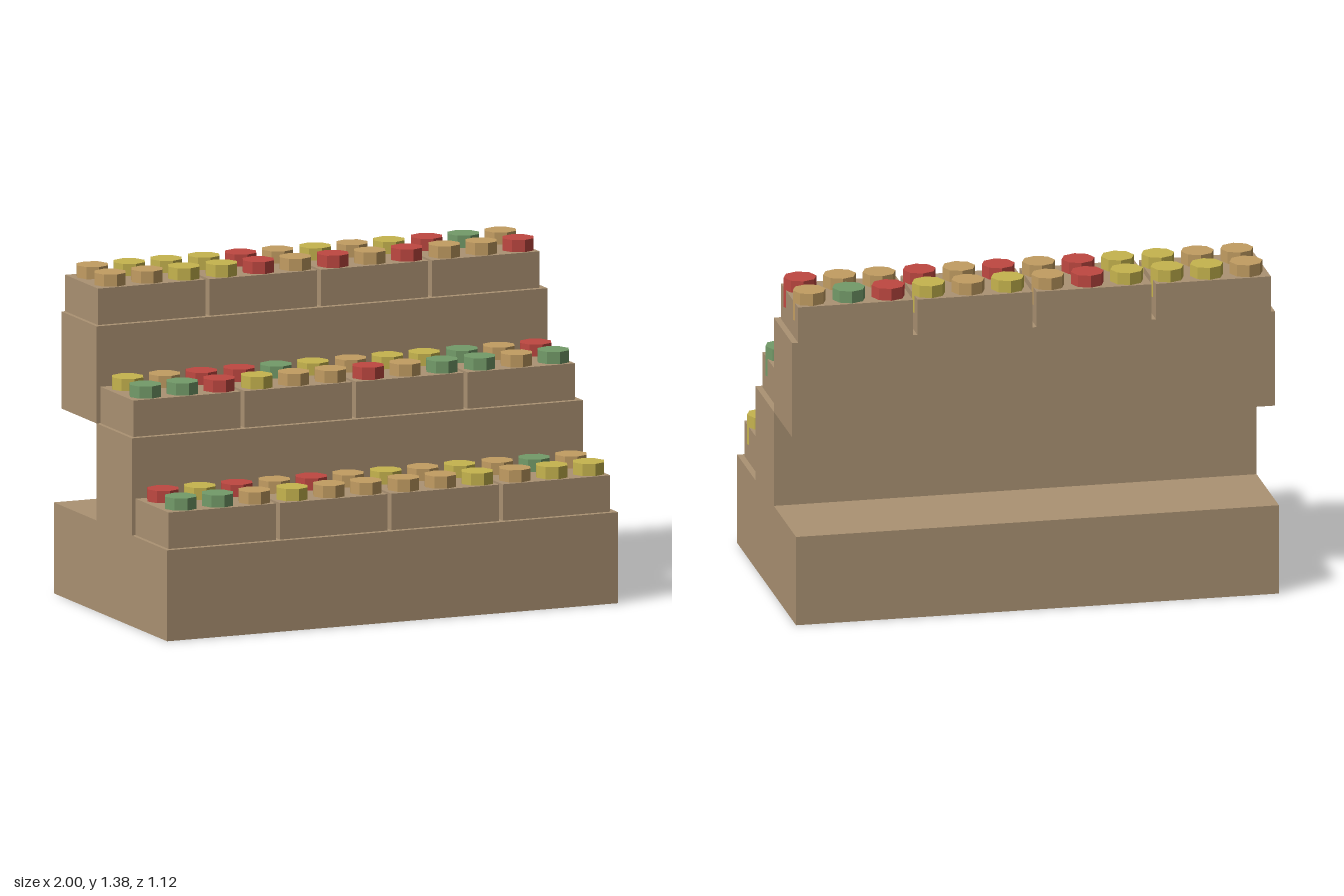
import * as THREE from 'three';

const wood = new THREE.MeshStandardMaterial({ color: 0xab9273 });
wood.name = 'wood';
const goods = { T: 0xc29d62, Y: 0xc6b44e, R: 0xbf4841, G: 0x739b69 };
const goodsNames = { T: 'tan', Y: 'yellow', R: 'red', G: 'green' };

// Colours of the goods, one string per row, from the front row to the back
const ROWS = [
  'GGTYTTTTYTYY',
  'RYRTRTYTYTGT',
  'GGRYTTRTGGTG',
  'YTRRGYTYYGTR',
  'TTYYRTRTRTTR',
  'TYYYRTYTYRGT',
];

const CRATE_W = 0.476, CRATE_H = 0.15, CRATE_D = 0.326, CRATE_PITCH = 0.494;
const LEFT = -0.983;

function box(name, x0, x1, y0, y1, z0, z1) {
  const mesh = new THREE.Mesh(new THREE.BoxGeometry(x1 - x0, y1 - y0, z1 - z0), wood);
  mesh.position.set((x0 + x1) / 2, (y0 + y1) / 2, (z0 + z1) / 2);
  mesh.name = name;
  return mesh;
}

export function createModel() {
  const model = new THREE.Group();
  model.name = 'marketStand';

  const materials = {};
  for (const key in goods) {
    materials[key] = new THREE.MeshStandardMaterial({ color: goods[key] });
    materials[key].name = goodsNames[key];
    materials[key].flatShading = true;
  }

  // Stepped stand
  model.add(box('lowerStep', -1, 1, 0, 0.375, -0.5625, 0.5625));
  model.add(box('middleStep', -1, 1, 0.375, 0.775, -0.1375, 0.2125));
  model.add(box('upperStep', -1, 1, 0.775, 1.175, -0.4875, -0.1375));

  // Eight-sided goods with a corner facing sideways
  const jarGeometry = new THREE.CylinderGeometry(0.068, 0.068, 0.125, 8);

  for (let tier = 0; tier < 3; tier++) {
    const y = 0.375 + 0.4 * tier;
    const back = 0.2125 - 0.35 * tier;
    for (let c = 0; c < 4; c++) {
      const x = LEFT + c * CRATE_PITCH;
      const display = new THREE.Group();
      display.name = 'filledCrate';
      display.add(box('crate', x, x + CRATE_W, y, y + CRATE_H, back, back + CRATE_D));
      // Two rows of three goods in each crate
      for (let row = 0; row < 2; row++) {
        for (let i = 0; i < 3; i++) {
          const jar = new THREE.Mesh(jarGeometry, materials[ROWS[tier * 2 + row][c * 3 + i]]);
          jar.position.set(x + 0.087 + 0.1635 * i, y + 0.1375, back + 0.25 - 0.175 * row);
          jar.name = 'goods';
          display.add(jar);
        }
      }
      model.add(display);
    }
  }
  return model;
}
